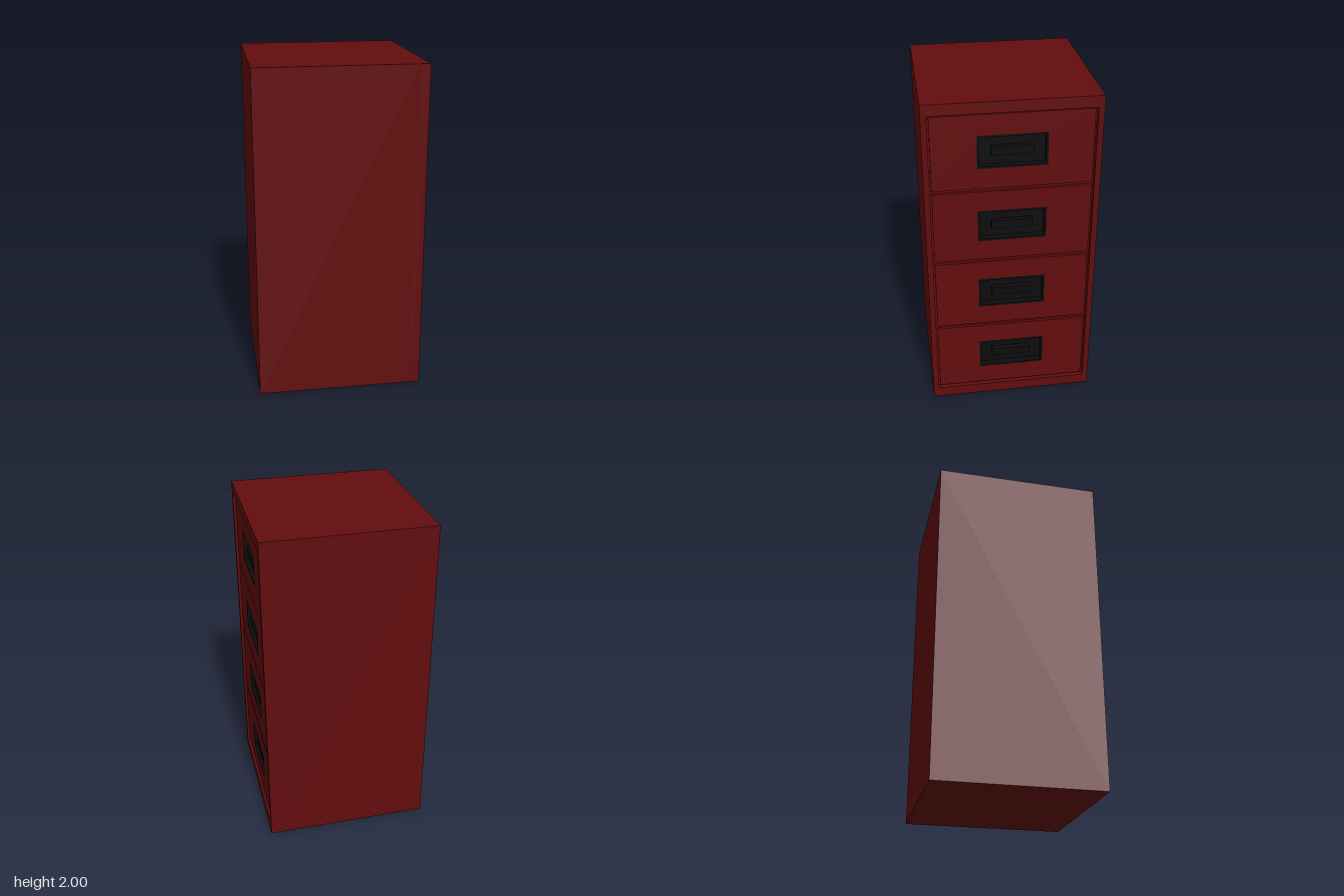
import * as THREE from 'three';

const red = new THREE.MeshStandardMaterial({ color: 0x620d0e });
red.name = 'dark red paint';
const black = new THREE.MeshStandardMaterial({ color: 0x0d0d0d });
black.name = 'black plastic';

const DRAWERS = 4;
const PITCH = 1.8667 / DRAWERS;
const centres = Array.from({ length: DRAWERS }, (_, i) => 0.0667 + PITCH * (i + 0.5));

// depths measured towards the drawer side
const BACK = 0.44, FLOOR = 0.468, PANEL = 0.485, FACE = 0.5;

function rect(shape, w, h, cy) {
  shape.moveTo(-w / 2, cy - h / 2);
  shape.lineTo(w / 2, cy - h / 2);
  shape.lineTo(w / 2, cy + h / 2);
  shape.lineTo(-w / 2, cy + h / 2);
  shape.closePath();
  return shape;
}

// rectangular slab with rectangular holes, each given as [width, height, centreY]
function slab(name, outer, holes, z0, z1, material) {
  const shape = rect(new THREE.Shape(), ...outer);
  for (const hole of holes) shape.holes.push(rect(new THREE.Path(), ...hole));
  const geometry = new THREE.ExtrudeGeometry(shape, { depth: z1 - z0, bevelEnabled: false });
  geometry.translate(0, 0, z0);
  const mesh = new THREE.Mesh(geometry, material);
  mesh.name = name;
  return mesh;
}

export function createModel() {
  const model = new THREE.Group();
  model.name = 'filingCabinet';
  const cabinet = new THREE.Group();
  cabinet.name = 'cabinet';
  cabinet.rotation.y = Math.PI / 2; // drawers face +x
  model.add(cabinet);

  // carcass and the raised frame around the drawer opening
  cabinet.add(
    slab('carcass', [1, 2, 1], [], -0.5, BACK, red),
    slab('drawerFrame', [1, 2, 1], [[0.9333, 1.8667, 1]], BACK, FACE, red),
    slab('recessFloor', [0.9333, 1.8667, 1], centres.map((y) => [0.4, 0.2, y]), BACK, FLOOR, red)
  );

  // drawer fronts with sunken grip trays
  for (const y of centres) {
    const drawer = new THREE.Group();
    drawer.name = 'drawer';
    drawer.add(
      slab('drawerFront', [0.912, 0.446, y], [[0.4, 0.2, y]], FLOOR, PANEL, red),
      slab('gripTrayRim', [0.4, 0.2, y], [[0.376, 0.176, y]], BACK, PANEL, black),
      slab('gripTrayBack', [0.376, 0.176, y], [], BACK, BACK + 0.008, black),
      slab('pullBar', [0.24, 0.05, y], [], BACK + 0.008, PANEL - 0.006, black)
    );
    cabinet.add(drawer);
  }
  return model;
}
